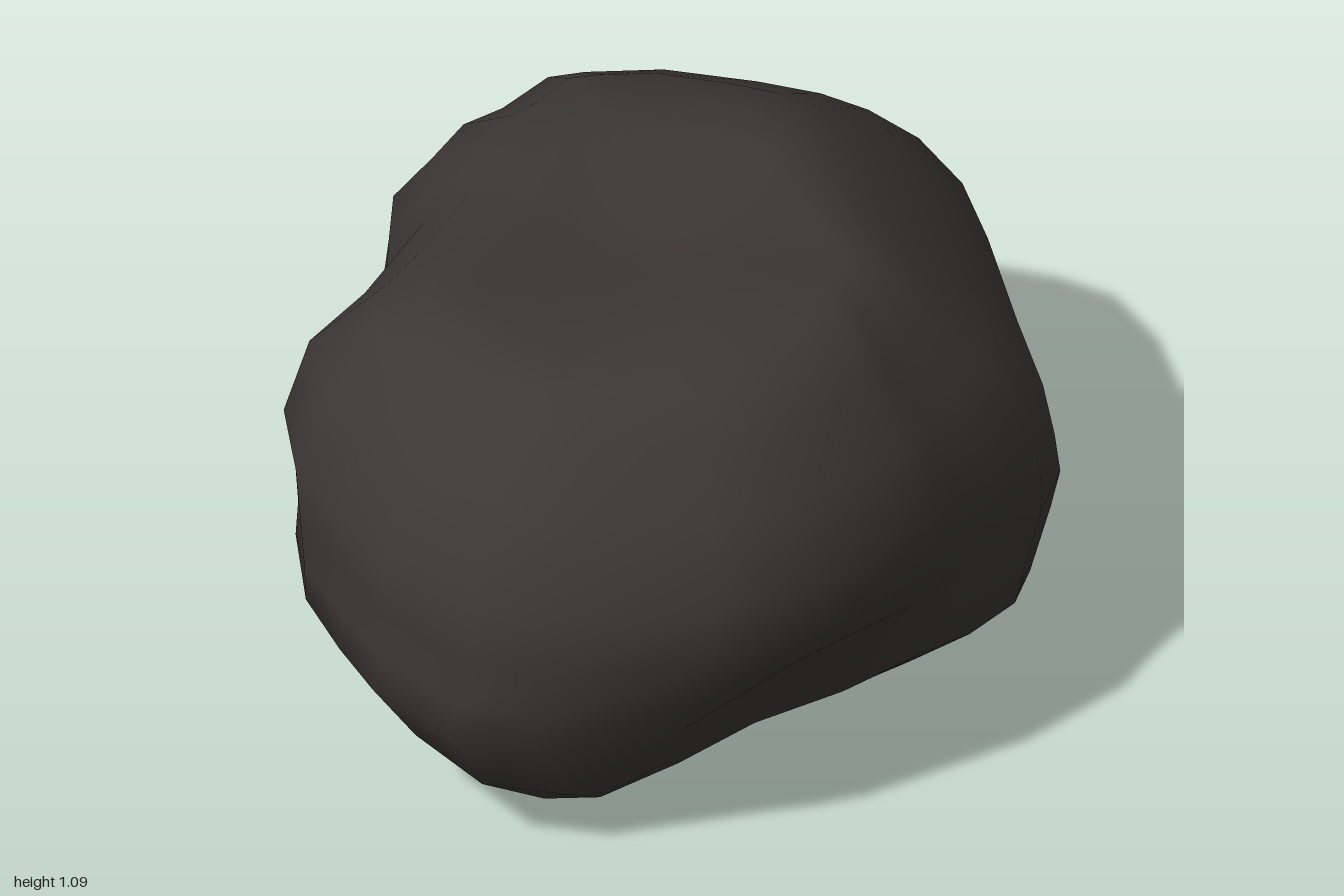
import * as THREE from 'three';

// Plan outline of the boulder, seen from above (x, z)
const OUTLINE = [
  [-0.31, -1], [-0.1, -0.97], [0.11, -0.88], [0.4, -0.73], [0.63, -0.62], [0.74, -0.5], [0.81, -0.32],
  [0.86, -0.18], [0.92, -0.05], [0.96, 0.25], [0.91, 0.55], [0.7, 0.83], [0.56, 0.97], [0.3, 1],
  [0.12, 0.98], [-0.08, 0.94], [-0.28, 0.79], [-0.41, 0.6], [-0.6, 0.33], [-0.7, 0.24], [-0.82, 0.13],
  [-0.9, -0.02], [-0.91, -0.16], [-0.96, -0.36], [-0.92, -0.46], [-0.8, -0.65], [-0.6, -0.83], [-0.45, -0.94],
];

// Extents of each level: y, left, right, back, front
const LEVELS = [
  [0.07, 0.52, 0.6, 0.58, 0.73],
  [0.17, 0.69, 0.69, 0.81, 0.9],
  [0.33, 0.97, 0.82, 0.94, 1],
  [0.42, 0.965, 0.89, 1, 0.985],
  [0.54, 0.955, 0.95, 0.97, 0.98],
  [0.68, 0.9, 0.96, 0.93, 0.98],
  [0.85, 0.77, 0.88, 0.76, 0.87],
  [0.97, 0.6, 0.77, 0.57, 0.74],
  [1.03, 0.38, 0.7, 0.44, 0.64],
];

// Local bulges and dents of the flanks: centre, push, radius
const PUSHES = [
  { at: [0.38, 0.07, 0.7], by: [0.2, 0, 0.02], r: 0.3 }, // low front corner
  { at: [0.7, 0.33, 0.7], by: [0.06, 0, 0.03], r: 0.25 }, // front corner wall
  { at: [0.75, 0.3, 0.2], by: [-0.06, 0, 0], r: 0.25 }, // dent in the side
  { at: [0.62, 0.15, -0.2], by: [0.07, 0, -0.03], r: 0.2 }, // low side
  { at: [0.43, 0.14, -0.46], by: [0.15, 0, -0.06], r: 0.3 }, // low back corner
  { at: [0.08, 0.15, -0.7], by: [0, 0, -0.08], r: 0.25 }, // low back
  { at: [-0.87, 0.35, 0.06], by: [0.07, 0, -0.03], r: 0.2 }, // undercut of the side
  { at: [-0.78, 0.72, 0.13], by: [-0.04, 0, 0], r: 0.2 }, // side swelling
  { at: [-0.4, 0.13, 0.36], by: [-0.09, 0.02, 0.05], r: 0.24 }, // low flank
  { at: [-0.03, 0.17, 0.85], by: [0, 0, -0.07], r: 0.2 }, // low front
  { at: [-0.12, 0.07, 0.55], by: [0, 0.05, 0], r: 0.3 }, // lifted front edge
  { at: [-0.2, 0.82, 0.7], by: [-0.05, 0, 0.07], r: 0.22 }, // upper front edge
];

function pushed([x, y, z]) {
  const p = [x, y, z];
  for (const { at, by, r } of PUSHES) {
    const w = Math.exp(-((x - at[0]) ** 2 + (y - at[1]) ** 2 + (z - at[2]) ** 2) / (r * r));
    by.forEach((d, k) => { p[k] += d * w; });
  }
  return p;
}

// Underside sinks gently towards its lowest corner
const undersideY = (x) => 0.065 - 0.1 * x;

// Crown has a long raised shoulder and a shallow hollow
function crownY(x, z) {
  const shoulder = 0.06 * Math.exp(-(((x - 0.49) / 0.23) ** 2) - ((z - 0.1) / 0.4) ** 2);
  const hollow = 0.05 * Math.exp(-((x + 0.08) ** 2 + (z - 0.1) ** 2) / 0.08);
  return 1.033 + shoulder - hollow;
}

// Shrinks a ring towards a centre, with its height given by a rule
const shrink = (ring, cx, cz, s, height) => ring.map(([x, , z]) => {
  const px = cx + (x - cx) * s, pz = cz + (z - cz) * s;
  return [px, height(px, pz), pz];
});

function boulderGeometry() {
  const rings = LEVELS.map(([y, left, right, back, front]) => OUTLINE.map(([x, z]) => pushed([
    x * (x < 0 ? left : right) / 0.96, y, z * (z < 0 ? back : front),
  ])));
  const top = rings.pop();
  rings.unshift(shrink(rings[0], 0.37, 0.28, 0.6, undersideY));
  for (const s of [1, 0.8, 0.58, 0.35, 0.16]) rings.push(shrink(top, 0.12, 0.08, s, crownY));

  const n = OUTLINE.length, points = rings.flat(), index = [];
  for (let r = 0; r < rings.length - 1; r++) {
    for (let i = 0; i < n; i++) {
      const a = r * n + i, b = r * n + (i + 1) % n;
      index.push(a, a + n, b, b, a + n, b + n);
    }
  }
  // Close the underside and crown
  const low = points.length, high = low + 1, last = (rings.length - 1) * n;
  points.push([0.37, 0, 0.28], [0.12, crownY(0.12, 0.08), 0.08]);
  for (let i = 0; i < n; i++) {
    const j = (i + 1) % n;
    index.push(low, i, j, high, last + j, last + i);
  }
  const geometry = new THREE.BufferGeometry();
  geometry.setAttribute('position', new THREE.Float32BufferAttribute(points.flat(), 3));
  geometry.setIndex(index);
  geometry.computeVertexNormals();
  return geometry;
}

export function createModel() {
  const group = new THREE.Group();
  group.name = 'rock';
  const stone = new THREE.MeshStandardMaterial({ color: 0x3c3636 });
  stone.name = 'dark stone';
  const boulder = new THREE.Mesh(boulderGeometry(), stone);
  boulder.name = 'boulder';
  group.add(boulder);
  return group;
}
